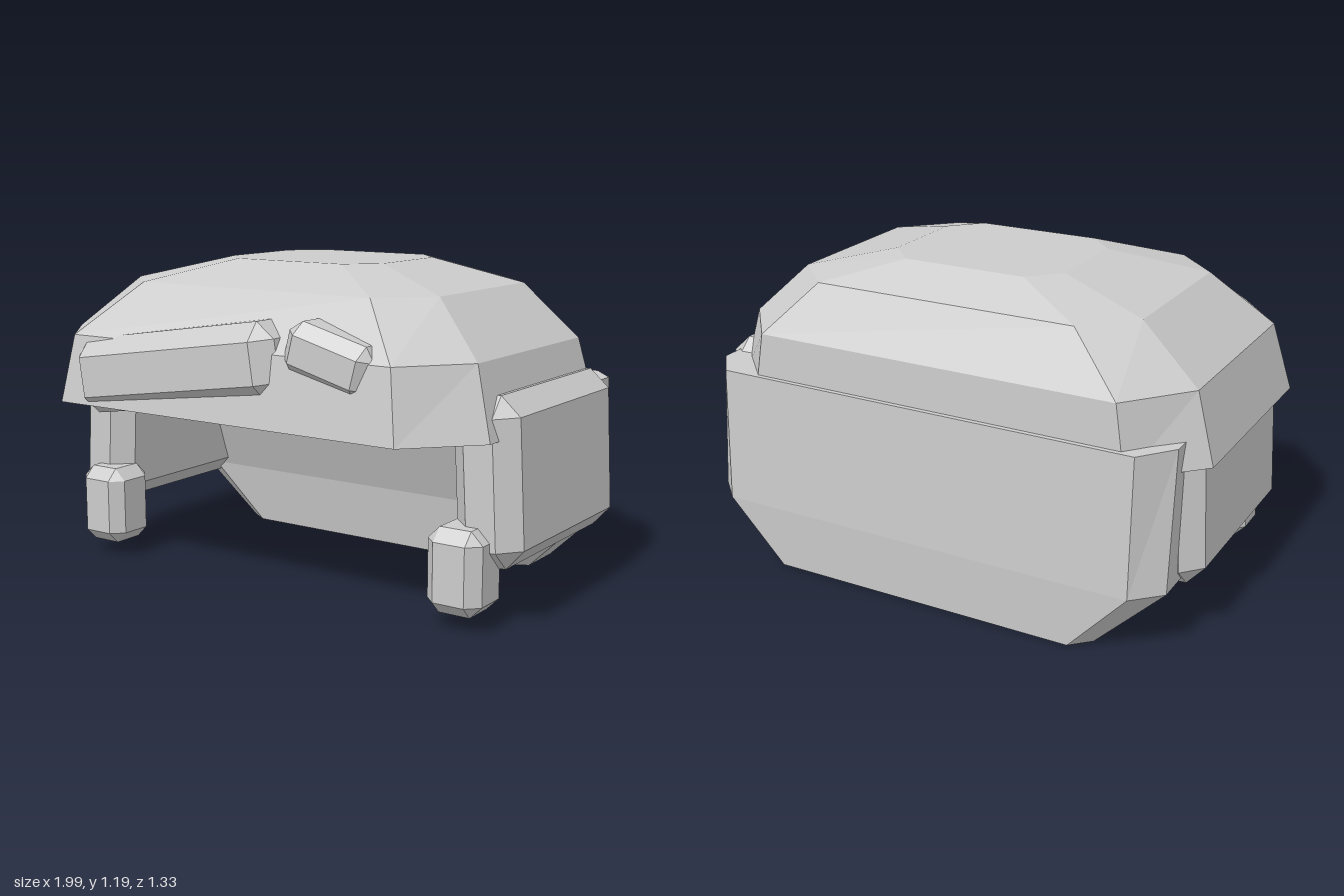
import * as THREE from 'three';
import { ConvexGeometry } from 'three/addons/geometries/ConvexGeometry.js';

const material = new THREE.MeshStandardMaterial({ color: 0xcccccc, flatShading: true });

// Eight-sided ring: a rectangle with cut corners.
// cx: centre, hx: half width, sx: half length of the front/back edge,
// front/back: z limits, sideF/sideB: z limits of the side edges
function ring({ y, cx = 0, hx, sx, front, back, sideF, sideB }) {
  return [
    [cx + hx, y, sideB], [cx + hx, y, sideF],
    [cx + sx, y, front], [cx - sx, y, front],
    [cx - hx, y, sideF], [cx - hx, y, sideB],
    [cx - sx, y, back], [cx + sx, y, back],
  ];
}

// Closed solid through a stack of rings, bottom to top
function loft(levels) {
  const rings = levels.map(ring);
  const n = 8;
  const index = [];
  for (let r = 0; r < rings.length - 1; r++) {
    for (let i = 0; i < n; i++) {
      const a = r * n + i, b = r * n + (i + 1) % n;
      index.push(a, a + n, b, b, a + n, b + n);
    }
  }
  const top = (rings.length - 1) * n;
  for (let i = 1; i < n - 1; i++) {
    index.push(0, i, i + 1, top, top + i + 1, top + i);
  }
  const geo = new THREE.BufferGeometry();
  geo.setAttribute('position', new THREE.Float32BufferAttribute(rings.flat(2), 3));
  geo.setIndex(index);
  const flat = geo.toNonIndexed();
  flat.computeVertexNormals();
  return flat;
}

// Box with all edges and corners cut flat
function bevelBox(w, h, d, c) {
  const points = [];
  for (const x of [-w / 2, w / 2]) for (const y of [-h / 2, h / 2]) for (const z of [-d / 2, d / 2]) {
    const s = new THREE.Vector3(Math.sign(x), Math.sign(y), Math.sign(z)).multiplyScalar(c);
    points.push(
      new THREE.Vector3(x, y - s.y, z - s.z),
      new THREE.Vector3(x - s.x, y, z - s.z),
      new THREE.Vector3(x - s.x, y - s.y, z));
  }
  return new ConvexGeometry(points);
}

export function createModel() {
  const group = new THREE.Group();
  const add = (name, geo, pos = [0, 0, 0], rotZ = 0) => {
    const mesh = new THREE.Mesh(geo, material);
    mesh.name = name;
    mesh.position.set(...pos);
    mesh.rotation.z = rotZ;
    group.add(mesh);
  };

  // Faceted cap, slightly off centre
  add('crown', loft([
    { y: 0.655, cx: -0.04, hx: 0.96, sx: 0.74, front: 0.65, back: -0.63, sideF: 0.415, sideB: -0.405 },
    { y: 0.91, cx: -0.04, hx: 0.89, sx: 0.70, front: 0.61, back: -0.62, sideF: 0.38, sideB: -0.39 },
    { y: 1.105, cx: -0.035, hx: 0.675, sx: 0.505, front: 0.44, back: -0.52, sideF: 0.27, sideB: -0.35 },
    { y: 1.19, cx: -0.035, hx: 0.34, sx: 0.235, front: 0.21, back: -0.36, sideF: 0.10, sideB: -0.25 },
  ]));

  // Thick slab hanging down the back
  add('backPanel', loft([
    { y: 0, hx: 0.67, sx: 0.60, front: -0.355, back: -0.655, sideF: -0.40, sideB: -0.587 },
    { y: 0.24, hx: 0.92, sx: 0.82, front: -0.31, back: -0.665, sideF: -0.36, sideB: -0.567 },
    { y: 0.75, hx: 0.92, sx: 0.82, front: -0.10, back: -0.645, sideF: -0.16, sideB: -0.52 },
  ]));

  // Side slabs and the small blocks in front of them
  for (const [side, s] of [['left', 1], ['right', -1]]) {
    add(side + 'SidePanel', bevelBox(0.25, 0.59, 0.845, 0.07), [s * 0.857, 0.5, -0.052], s * 0.055);
    add(side + 'FrontBlock', bevelBox(0.21, 0.30, 0.21, 0.045), [s * 0.797, 0.205, 0.355]);
  }

  // Two slanted bars across the front
  add('longFringe', bevelBox(0.93, 0.28, 0.33, 0.065), [-0.26, 0.82, 0.5], 0.15);
  add('shortFringe', bevelBox(0.35, 0.19, 0.24, 0.045), [0.408, 0.907, 0.52], -0.26);

  return group;
}
